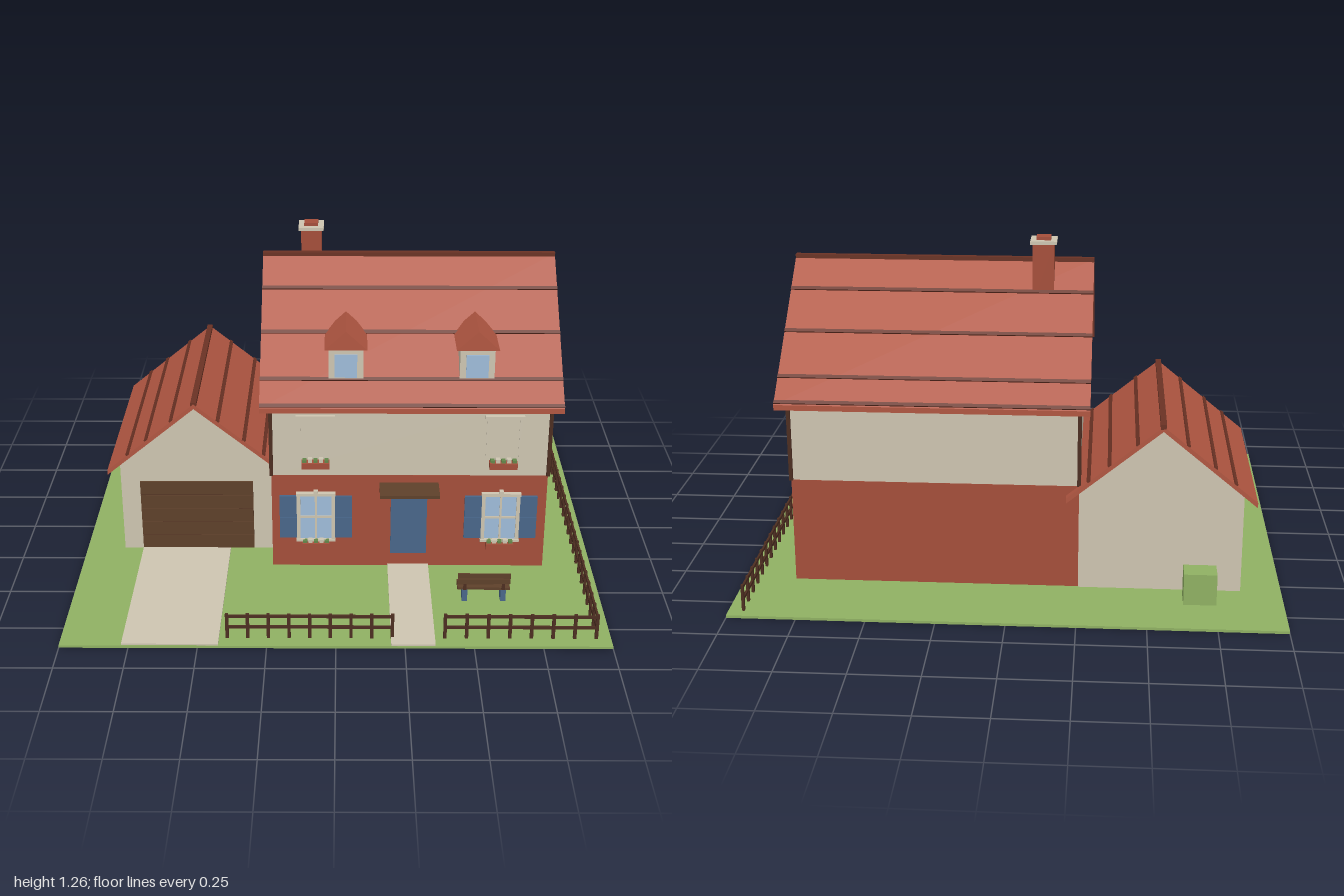
import * as THREE from 'three';

const mat = (name, color) => {
  const m = new THREE.MeshStandardMaterial({ color });
  m.name = name;
  return m;
};

export function createModel() {
  const brick = mat('brick', 0xa44e3a), tile = mat('roofTile', 0xb05641), batten = mat('darkBatten', 0x6a3224);
  const cream = mat('creamPlaster', 0xcdc4b0), grass = mat('grass', 0x8fb062), wood = mat('darkWood', 0x5e402a);
  const blue = mat('bluePaint', 0x486689), glass = mat('glass', 0x9ebbd8), leaf = mat('leaves', 0x62864a);
  const fenceWood = mat('fenceWood', 0x4c2d20);
  const model = new THREE.Group();
  model.name = 'house';

  const group = (name, parent = model) => {
    const g = new THREE.Group();
    g.name = name;
    parent.add(g);
    return g;
  };
  // Box given by its extents on each axis
  const box = (parent, name, m, x0, x1, y0, y1, z0, z1) => {
    const mesh = new THREE.Mesh(new THREE.BoxGeometry(x1 - x0, y1 - y0, z1 - z0), m);
    mesh.position.set((x0 + x1) / 2, (y0 + y1) / 2, (z0 + z1) / 2);
    mesh.name = name;
    parent.add(mesh);
    return mesh;
  };
  // Outline in x, y extruded along z, centred
  const prism = (parent, name, m, points, length) => {
    const shape = new THREE.Shape(points.map(([x, y]) => new THREE.Vector2(x, y)));
    const geo = new THREE.ExtrudeGeometry(shape, { depth: length, bevelEnabled: false });
    geo.translate(0, 0, -length / 2);
    const mesh = new THREE.Mesh(geo, m);
    mesh.name = name;
    parent.add(mesh);
    return mesh;
  };
  const gableWall = (parent, half, y0, eave, ridge, length) => prism(parent, 'gableWalls', cream,
    [[-half, y0], [half, y0], [half, eave], [0, ridge], [-half, eave]], length);
  // Pitched roof: chevron slab, ridge cap and battens down both slopes
  const roof = (parent, half, eave, ridge, t, length, offsets) => {
    prism(parent, 'roofSlab', tile,
      [[-half, eave - t], [0, ridge - t], [half, eave - t], [half, eave], [0, ridge], [-half, eave]], length);
    const slope = (ridge - eave) / half;
    box(parent, 'ridgeCap', batten, -0.011, 0.011, ridge - 0.012, ridge + 0.006, -length / 2, length / 2);
    for (const s of [-1, 1]) for (const d of offsets) {
      const b = box(parent, 'roofBatten', batten, -0.007, 0.007, -0.004, 0.004, -length / 2, length / 2);
      b.position.set(s * d, ridge - slope * d + 0.002, 0);
      b.rotation.z = -s * Math.atan(slope);
    }
  };

  // Garden
  const garden = group('garden');
  box(garden, 'lawn', grass, -1, 1, 0, 0.01, -0.875, 0.875);
  box(garden, 'driveway', cream, -0.775, -0.425, 0.01, 0.016, 0.18, 0.872);
  box(garden, 'path', cream, 0.2, 0.36, 0.01, 0.016, 0.31, 0.872);
  box(garden, 'hedgeBlock', grass, -0.755, -0.635, 0.01, 0.13, -0.69, -0.605);

  // Main house
  const main = group('mainHouse');
  box(main, 'brickStorey', brick, -0.25, 0.81, 0.01, 0.41, -0.56, 0.316);
  const upper = group('upperStorey', main);
  upper.position.set(0.28, 0, -0.122);
  upper.rotation.y = Math.PI / 2;
  gableWall(upper, 0.437, 0.41, 0.755, 1.138, 1.06);
  roof(upper, 0.503, 0.722, 1.155, 0.02, 1.135, [0.118, 0.262, 0.412, 0.495]);
  for (const x of [-0.25, 0.81]) for (const z of [-0.56, 0.316])
    box(main, 'cornerPost', fenceWood, x - 0.007, x + 0.007, 0.41, 0.75, z - 0.007, z + 0.007);

  // Chimney
  const chimney = group('chimney', main);
  box(chimney, 'stack', brick, -0.14, -0.06, 1.0, 1.235, -0.238, -0.158);
  box(chimney, 'cap', cream, -0.15, -0.052, 1.235, 1.248, -0.248, -0.15);
  box(chimney, 'pot', brick, -0.128, -0.074, 1.248, 1.26, -0.225, -0.171);

  // Dormers
  for (const x of [0.035, 0.525]) {
    const d = group('dormer', main);
    d.position.x = x;
    box(d, 'dormerWalls', cream, -0.065, 0.065, 0.79, 0.93, 0.1, 0.292);
    box(d, 'dormerPane', glass, -0.042, 0.042, 0.81, 0.902, 0.292, 0.296);
    prism(d, 'dormerRoof', tile, [[-0.08, 0.925], [0.08, 0.925], [0, 1.0]], 0.206).position.z = 0.205;
  }

  // Windows with flower boxes
  const flowerBox = (parent, y) => {
    box(parent, 'flowerBox', brick, -0.053, 0.053, y, y + 0.025, 0.316, 0.352);
    for (let i = 0; i < 5; i++)
      box(parent, 'plant', i % 2 ? cream : leaf, -0.05 + i * 0.021, -0.034 + i * 0.021, y + 0.025, y + 0.035 + (i % 2) * 0.004, 0.324, 0.344);
  };
  const frame = (parent, y0, y1) => {
    for (const s of [-1, 1]) box(parent, 'jamb', cream, s * 0.067 - 0.007, s * 0.067 + 0.007, y0, y1, 0.316, 0.327);
    box(parent, 'lintel', cream, -0.076, 0.076, y1 - 0.012, y1, 0.316, 0.334);
    box(parent, 'keystone', cream, -0.008, 0.008, y1, y1 + 0.01, 0.316, 0.334);
    box(parent, 'sill', cream, -0.076, 0.076, y0, y0 + 0.01, 0.316, 0.332);
  };
  for (const x of [-0.08, 0.635]) {
    const low = group('groundWindow', main);
    low.position.x = x;
    box(low, 'pane', glass, -0.065, 0.065, 0.13, 0.33, 0.316, 0.32);
    frame(low, 0.125, 0.338);
    box(low, 'glazingBar', cream, -0.004, 0.004, 0.13, 0.33, 0.32, 0.324);
    box(low, 'glazingBar', cream, -0.065, 0.065, 0.226, 0.234, 0.32, 0.324);
    for (const s of [-1, 1]) for (const [y0, y1] of [[0.14, 0.229], [0.231, 0.322]])
      box(low, 'shutter', blue, s * 0.107 - 0.033, s * 0.107 + 0.033, y0, y1, 0.316, 0.326);
    flowerBox(low, 0.1);

    const high = group('upperWindow', main);
    high.position.x = x;
    box(high, 'lintel', cream, -0.074, 0.074, 0.653, 0.666, 0.316, 0.332);
    for (const s of [-1, 1]) box(high, 'jamb', cream, s * 0.062 - 0.005, s * 0.062 + 0.005, 0.49, 0.653, 0.316, 0.319);
    flowerBox(high, 0.452);
  }

  // Front door and canopy
  box(main, 'frontDoor', blue, 0.21, 0.35, 0.07, 0.36, 0.316, 0.324);
  box(main, 'canopy', wood, 0.165, 0.392, 0.366, 0.379, 0.316, 0.425);

  // Garage
  const garage = group('garage');
  garage.position.set(-0.55, 0, -0.19);
  gableWall(garage, 0.3, 0.01, 0.395, 0.642, 0.75);
  roof(garage, 0.347, 0.373, 0.658, 0.02, 0.8, [0.09, 0.19, 0.265]);
  for (let i = 0; i < 5; i++)
    box(garage, 'garageDoorPanel', wood, -0.225, 0.22, 0.016 + i * 0.06, 0.073 + i * 0.06, 0.375, 0.383);
  box(garage, 'garageDoorBacking', fenceWood, -0.225, 0.22, 0.016, 0.313, 0.375, 0.379);

  // Fence runs along local x, starting at the origin
  const fence = (length, x, z, turn) => {
    const f = group('fence');
    f.position.set(x, 0, z);
    f.rotation.y = turn;
    const n = Math.round(length / 0.076);
    for (let i = 0; i <= n; i++) {
      const p = (i * length) / n;
      box(f, 'post', fenceWood, p - 0.006, p + 0.006, 0.01, 0.11, -0.005, 0.005);
    }
    for (const y of [0.055, 0.1]) box(f, 'rail', fenceWood, 0, length, y - 0.005, y + 0.005, -0.004, 0.004);
  };
  fence(0.6, -0.395, 0.82, 0);
  fence(0.55, 0.396, 0.82, 0);
  fence(1.65, 0.946, 0.82, Math.PI / 2);

  // Bench
  const bench = group('bench');
  for (const x of [0.485, 0.63]) {
    box(bench, 'leg', blue, x - 0.01, x + 0.01, 0.01, 0.06, 0.53, 0.576);
    box(bench, 'backSupport', fenceWood, x - 0.006, x + 0.006, 0.06, 0.13, 0.572, 0.576);
  }
  for (const z of [0.515, 0.536, 0.557]) box(bench, 'seatSlat', wood, 0.457, 0.655, 0.06, 0.069, z, z + 0.018);
  for (const y of [0.09, 0.113]) box(bench, 'backSlat', wood, 0.457, 0.655, y, y + 0.02, 0.576, 0.582);

  return model;
}
